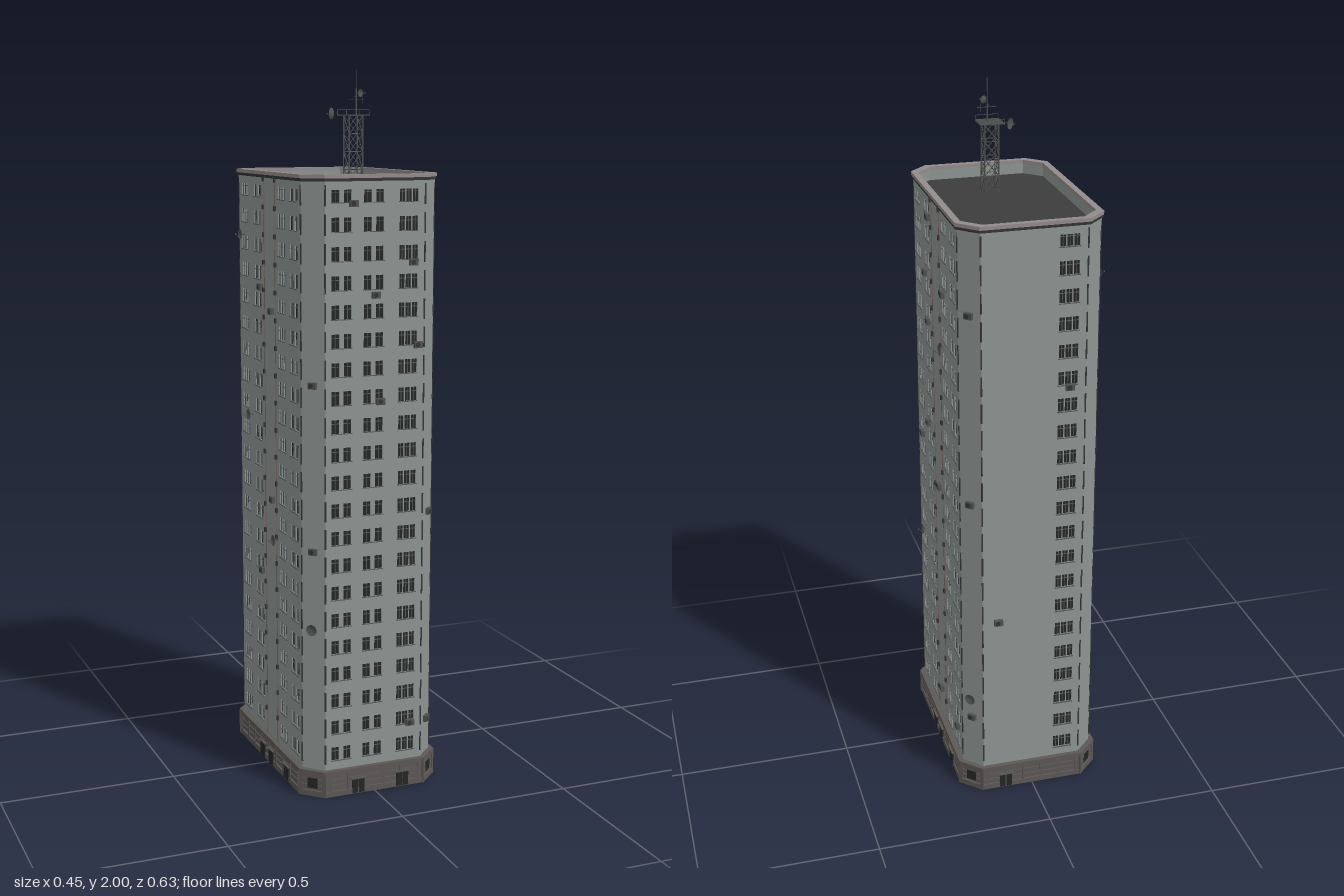
import * as THREE from 'three';
import { mergeGeometries } from 'three/addons/utils/BufferGeometryUtils.js';

const mat = (color, side = THREE.FrontSide) =>
  new THREE.MeshStandardMaterial({ color, side, flatShading: true });
const M = {
  wall: mat(0x8d9592, THREE.DoubleSide), roof: mat(0x3c3c3c, THREE.DoubleSide), coping: mat(0x938b8b),
  glass: mat(0x242626), frame: mat(0x55595a), base: mat(0x5c5856, THREE.DoubleSide),
  dark: mat(0x353535), metal: mat(0x505252, THREE.DoubleSide), pipe: mat(0x6e5a56),
};
const FLOORS = 21, STEP = 0.0775, FIRST = 0.122, WIN_H = 0.038;
const WALL_Y = 0.07, WALL_TOP = 1.7;
const HW = 0.195, HD = 0.3, CH = 0.05;

const box = (w, h, d, x, y, z) => new THREE.BoxGeometry(w, h, d).translate(x, y, z);
function add(parent, name, geos, material) {
  const geo = Array.isArray(geos) ? mergeGeometries(geos) : geos;
  const mesh = new THREE.Mesh(geo, material);
  mesh.name = name;
  parent.add(mesh);
  return mesh;
}

// Thin rod between two points
function rod(a, b, r = 0.0015) {
  const A = new THREE.Vector3(...a), B = new THREE.Vector3(...b), d = B.clone().sub(A);
  const q = new THREE.Quaternion().setFromUnitVectors(new THREE.Vector3(0, 1, 0), d.clone().normalize());
  return new THREE.CylinderGeometry(r, r, d.length(), 5)
    .applyQuaternion(q).translate(...A.add(B).multiplyScalar(0.5).toArray());
}

// Chamfered rectangle and the ring or slab made from it
const octagon = (w, d, c) => [[w, d - c], [w - c, d], [c - w, d], [-w, d - c],
  [-w, c - d], [c - w, -d], [w - c, -d], [w, c - d]].map(p => new THREE.Vector2(...p));
function ring(outer, inner, y, h) {
  const shape = new THREE.Shape(octagon(...outer));
  if (inner) shape.holes.push(new THREE.Path(octagon(...inner)));
  return new THREE.ExtrudeGeometry(shape, { depth: h, bevelEnabled: false })
    .rotateX(-Math.PI / 2).translate(0, y, 0);
}

// Window columns: u is the centre along the wall, panes their number
const WIDE = 3, PAIR = 2;
const sideColumns = [[-0.197, WIDE], [-0.09, PAIR], [0.105, WIDE], [0.2, PAIR]];
const FACES = [
  { name: 'front', angle: 0, dist: HD, half: HW - CH, columns: [[-0.098, PAIR], [-0.005, PAIR], [0.097, WIDE]], doors: [0.085, -0.05] },
  { name: 'right', angle: Math.PI / 2, dist: HW, half: HD - CH, columns: sideColumns, strip: true, doors: [-0.05, 0.02, 0.15] },
  { name: 'back', angle: Math.PI, dist: HD, half: HW - CH, columns: [[0.095, WIDE]], doors: [-0.08] },
  { name: 'left', angle: -Math.PI / 2, dist: HW, half: HD - CH, columns: sideColumns, strip: true, doors: [-0.05, 0.02, 0.15] },
];

// One long wall with window openings, glazing, joints and base details
function makeFace(f) {
  const g = new THREE.Group();
  g.name = f.name + 'Side';
  const shape = new THREE.Shape([[-f.half, WALL_Y], [f.half, WALL_Y], [f.half, WALL_TOP], [-f.half, WALL_TOP]]
    .map(p => new THREE.Vector2(...p)));
  const glass = [], frames = [], joints = [], vents = [];
  for (let i = 0; i < FLOORS; i++) {
    const y = FIRST + i * STEP;
    for (const [u, n] of f.columns) {
      const pane = n === WIDE ? 0.016 : 0.022, pitch = n === WIDE ? 0.019 : 0.035;
      for (let k = 0; k < n; k++) {
        const x = u + (k - (n - 1) / 2) * pitch, a = x - pane / 2, b = x + pane / 2;
        const lo = y - WIN_H / 2, hi = y + WIN_H / 2;
        shape.holes.push(new THREE.Path([[a, lo], [a, hi], [b, hi], [b, lo]].map(p => new THREE.Vector2(...p))));
        glass.push(box(pane, WIN_H, 0.002, x, y, -0.004));
        frames.push(box(0.0018, WIN_H, 0.003, x, y, -0.0025), box(pane, 0.0018, 0.003, x, y + 0.008, -0.0025));
      }
      frames.push(box((n - 1) * pitch + pane + 0.004, 0.002, 0.005, u, y - WIN_H / 2 - 0.001, 0.001));
    }
    for (const s of [-1, 1]) {
      joints.push(box(0.004, STEP * 0.72, 0.003, s * f.half, y, 0));
      if (f.strip) vents.push(box(0.008, 0.013, 0.007, 0.01 + s * 0.047, y + 0.032, 0.002));
    }
  }
  add(g, f.name + 'Wall', new THREE.ExtrudeGeometry(shape, { depth: 0.006, bevelEnabled: false }).translate(0, 0, -0.006), M.wall);
  add(g, f.name + 'Glass', glass, M.glass);
  add(g, f.name + 'WindowFrames', frames, M.frame);
  add(g, f.name + 'CornerJoints', joints, M.dark);
  if (f.strip) {
    add(g, f.name + 'StairVents', vents, M.dark);
    add(g, f.name + 'DrainPipes', [-1, 1].map(s => box(0.002, WALL_TOP - WALL_Y, 0.002, 0.01 + s * 0.044, (WALL_TOP + WALL_Y) / 2, 0.001)), M.pipe);
  }
  // Doors and pilasters of the base
  add(g, f.name + 'Doors', f.doors.flatMap(u => [box(0.017, 0.04, 0.004, u - 0.01, 0.022, 0.011), box(0.017, 0.04, 0.004, u + 0.01, 0.022, 0.011)]), M.glass);
  add(g, f.name + 'DoorCanopies', f.doors.map(u => box(0.046, 0.004, 0.008, u, 0.045, 0.0115)), M.base);
  const n = Math.round(f.half / 0.03);
  add(g, f.name + 'BasePilasters', Array.from({ length: n + 1 }, (_, i) =>
    box(0.006, 0.06, 0.004, (i / n * 2 - 1) * (f.half - 0.01), 0.034, 0.01)), M.base);
  g.rotation.y = f.angle;
  g.position.set(Math.sin(f.angle) * f.dist, 0, Math.cos(f.angle) * f.dist);
  return g;
}

// Dish with feed arm, facing +z from its wall bracket
function makeDish(r = 0.016) {
  const g = new THREE.Group();
  g.name = 'satelliteDish';
  const pts = [0, 0.35, 0.7, 1].map(t => new THREE.Vector2(Math.max(t * r, 1e-4), t * t * r * 0.35));
  add(g, 'dishBowl', new THREE.LatheGeometry(pts, 14).rotateX(Math.PI / 2).translate(0, 0, 0.011), M.metal);
  add(g, 'dishArms', [rod([0, 0, -0.002], [0, 0, 0.012], 0.001), rod([0, -r * 0.9, 0.015], [0, 0, 0.029], 0.0007),
    box(0.003, 0.003, 0.004, 0, 0, 0.029)], M.metal);
  return g;
}

function makeAirUnit() {
  const g = new THREE.Group();
  g.name = 'airConditioner';
  add(g, 'unitCase', box(0.024, 0.018, 0.01, 0, 0, 0.006), M.metal);
  add(g, 'unitFan', new THREE.CylinderGeometry(0.007, 0.007, 0.001, 12).rotateX(Math.PI / 2).translate(-0.003, 0, 0.0115), M.dark);
  return g;
}

// Lattice mast on the roof
function makeMast() {
  const g = new THREE.Group();
  g.name = 'antennaTower';
  const s = 0.02, y0 = 1.685, h = 0.048, bars = [];
  const c = [[-s, -s], [s, -s], [s, s], [-s, s]];
  c.forEach(([x, z], i) => {
    const [x2, z2] = c[(i + 1) % 4];
    bars.push(rod([x, y0, z], [x, 1.878, z], 0.002));
    for (let k = 0; k < 4; k++) {
      const a = y0 + k * h, b = a + h;
      bars.push(rod([x, a, z], [x2, b, z2], 0.0012), rod([x2, a, z2], [x, b, z], 0.0012), rod([x, b, z], [x2, b, z2], 0.0012));
    }
  });
  add(g, 'towerLattice', bars, M.metal);
  const slats = Array.from({ length: 9 }, (_, i) => box(0.068, 0.002, 0.004, 0, 1.88, -0.032 + i * 0.008));
  for (const x of [-0.033, 0, 0.033]) slats.push(box(0.002, 0.003, 0.068, x, 1.878, 0));
  add(g, 'towerPlatform', slats, M.metal);
  const rails = [];
  for (const e of [-1, 1]) {
    rails.push(rod([-0.033, 1.893, e * 0.032], [0.033, 1.893, e * 0.032], 0.0008));
    for (const x of [-0.033, 0.033]) rails.push(rod([x, 1.88, e * 0.032], [x, 1.893, e * 0.032], 0.0008));
  }
  add(g, 'platformRails', rails, M.metal);
  add(g, 'antennaPole', [rod([0.006, 1.88, 0.006], [0.006, 1.95, 0.006], 0.002), rod([0.006, 1.95, 0.006], [0.006, 2, 0.006], 0.0009),
    rod([-0.02, 1.92, 0.006], [0.034, 1.92, 0.006], 0.0009), rod([0.006, 1.928, -0.012], [0.006, 1.928, 0.024], 0.0009),
    rod([0.024, 1.908, 0.006], [0.024, 1.932, 0.006], 0.0009)], M.metal);
  const big = makeDish(0.016);
  big.position.set(-0.034, 1.883, -0.034);
  big.rotation.y = -2.4;
  const small = makeDish(0.011);
  small.position.set(0.006, 1.938, 0.006);
  small.rotation.y = 0.5;
  g.add(big, small);
  g.position.z = 0.143;
  return g;
}

export function createModel() {
  const model = new THREE.Group();
  model.name = 'towerBlock';
  for (const f of FACES) model.add(makeFace(f));

  // Plain chamfered corners with projecting base piers
  const corners = [], piers = [], pierJoints = [];
  for (const sx of [-1, 1]) for (const sz of [-1, 1]) {
    const put = (geo, out) => geo.translate(0, 0, out).rotateY(Math.atan2(sx, sz))
      .translate(sx * (HW - CH / 2), 0, sz * (HD - CH / 2));
    corners.push(put(box(CH * Math.SQRT2, WALL_TOP - WALL_Y, 0.004, 0, (WALL_TOP + WALL_Y) / 2, 0), -0.002));
    for (const e of [-1, 1]) piers.push(put(box(0.012, 0.074, 0.016, e * 0.036, 0.037, 0), 0.006));
    pierJoints.push(put(box(0.03, 0.03, 0.003, 0, 0.038, 0), 0.01));
  }
  add(model, 'cornerWalls', corners, M.wall);
  add(model, 'basePiers', piers, M.base);
  add(model, 'baseCornerWindows', pierJoints, M.glass);

  // Base: stacked courses, open underneath
  const inner = [HW - 0.006, HD - 0.006, CH];
  const courses = [[0, 0.016, 0.012], [0.016, 0.003, 0.007], [0.019, 0.014, 0.01], [0.033, 0.003, 0.007], [0.036, 0.014, 0.01],
    [0.05, 0.003, 0.007], [0.053, 0.013, 0.01], [0.066, 0.01, 0.013]];
  add(model, 'baseCourses', courses.map(([y, h, o]) => ring([HW + o, HD + o, CH + o * 0.4], inner, y, h)), M.base);

  // Roof deck, parapet and coping
  add(model, 'roofDeck', ring([0.19, 0.295, 0.048], null, 1.68, 0.006), M.roof);
  add(model, 'parapet', ring([0.196, 0.301, 0.05], [0.185, 0.29, 0.047], 1.686, 0.032), M.wall);
  add(model, 'corniceBand', ring([0.199, 0.304, 0.051], [0.19, 0.295, 0.048], 1.708, 0.008), M.dark);
  add(model, 'coping', ring([0.201, 0.306, 0.052], [0.183, 0.288, 0.047], 1.716, 0.01), M.coping);
  model.add(makeMast());

  // Wall equipment: x, y, z on the wall and its facing angle
  const place = (make, list, angle, at) => list.forEach(([u, y]) => {
    const o = make();
    o.position.set(...at(u, y));
    o.rotation.y = angle;
    model.add(o);
  });
  const Q = Math.PI / 4, cx = HW - CH / 2, cz = HD - CH / 2;
  const onFront = (u, y) => [u, y, HD], onBack = (u, y) => [u, y, -HD];
  const onRight = (z, y) => [HW, y, z], onLeft = (z, y) => [-HW, y, z];
  place(makeAirUnit, [[-0.065, 1.65], [0.11, 1.49], [0, 1.405], [0.125, 1.265], [0.015, 1.115], [0.11, 0.185]], 0, onFront);
  place(makeAirUnit, [[0.06, 1.65], [0.11, 1.475], [-0.1, 1.48], [0.08, 1.34], [0.1, 1.02], [0.18, 0.95], [-0.025, 0.87],
    [-0.015, 0.18], [-0.21, 0.17]], 2 * Q, onRight);
  place(makeDish, [[-0.1, 1.32], [0.16, 0.64]], 2 * Q, onRight);
  place(makeAirUnit, [[-0.06, 1.4], [0.03, 1.34], [-0.06, 0.57], [0.03, 0.8]], -2 * Q, onLeft);
  place(makeDish, [[-0.2, 1.54], [-0.14, 1.02], [0.065, 0.69]], -2 * Q, onLeft);
  place(makeAirUnit, [[0.1, 0.56], [-0.1, 1.26]], 4 * Q, onBack);
  place(makeAirUnit, [[0, 0.79], [0, 0.18]], Q, (u, y) => [cx, y, cz]);
  place(makeAirUnit, [[0, 1.165], [0, 0.705]], -Q, (u, y) => [-cx, y, cz]);
  place(makeDish, [[0, 0.485]], -Q, (u, y) => [-cx, y, cz]);
  place(makeAirUnit, [[0, 1.48], [0, 0.93], [0, 0.24]], 3 * Q, (u, y) => [cx, y, -cz]);
  place(makeDish, [[0, 0.305]], 3 * Q, (u, y) => [cx, y, -cz]);

  model.position.z = -0.003;
  const root = new THREE.Group();
  root.name = 'building';
  root.add(model);
  return root;
}
